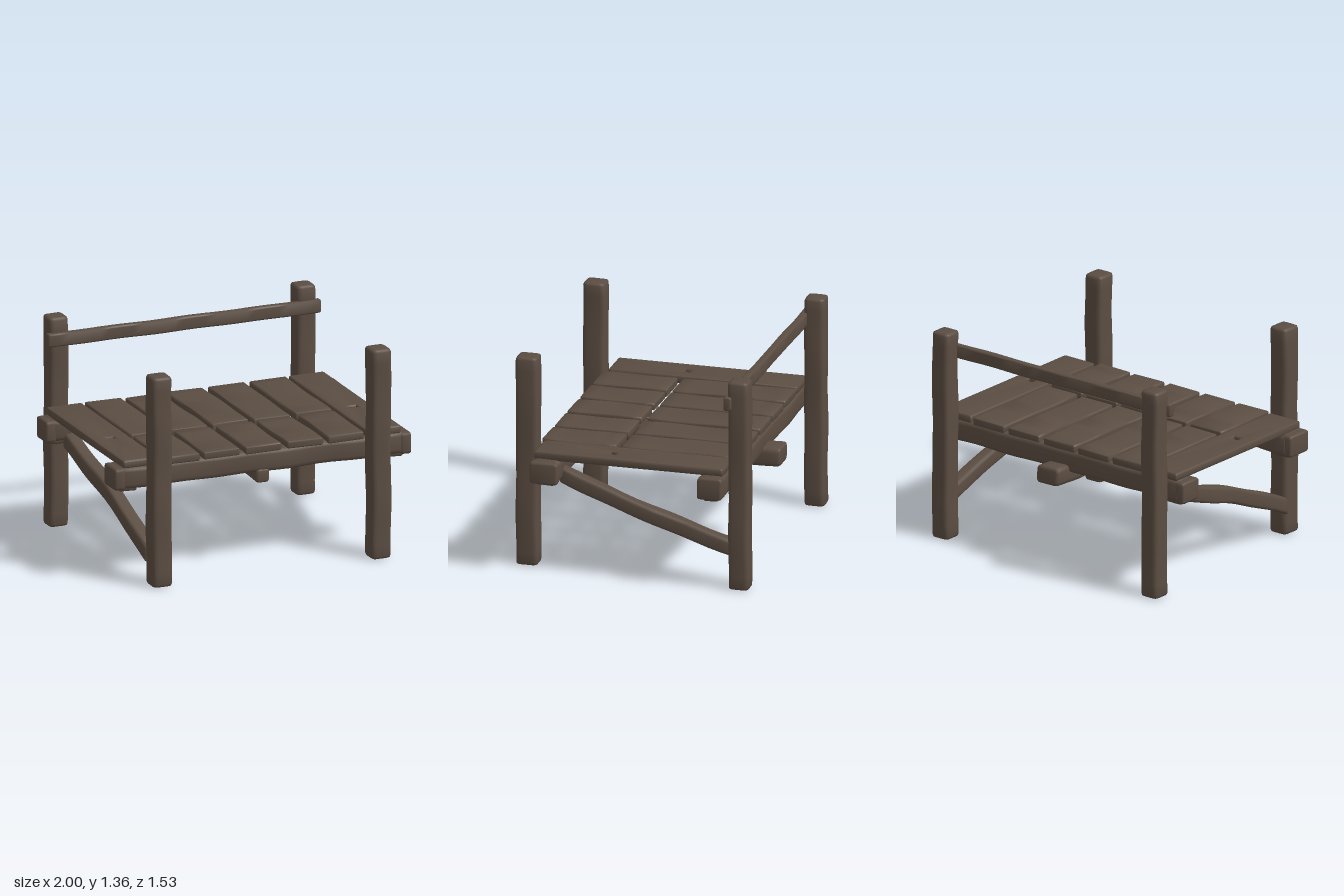
import * as THREE from 'three';
import { toCreasedNormals } from 'three/addons/utils/BufferGeometryUtils.js';

const wood = new THREE.MeshStandardMaterial({ color: 0x5b4d42 });
wood.name = 'weathered wood';

// Rounded rectangle centred on the origin
function roundedRect(w, h, r) {
  const s = new THREE.Shape();
  const x = w / 2, y = h / 2;
  s.moveTo(-x + r, -y);
  s.lineTo(x - r, -y).quadraticCurveTo(x, -y, x, -y + r);
  s.lineTo(x, y - r).quadraticCurveTo(x, y, x - r, y);
  s.lineTo(-x + r, y).quadraticCurveTo(-x, y, -x, y - r);
  s.lineTo(-x, -y + r).quadraticCurveTo(-x, -y, -x + r, -y);
  return s;
}

// Hand-hewn timber filling the given ranges, with its grain along one axis.
// bend(z) may return [dx, dy] to curve a timber that runs along z.
function timber(name, xr, yr, zr, axis, { wobble = 0.005, round = 0.25, hole = null, bend = null } = {}) {
  const size = [xr, yr, zr].map(([a, b]) => b - a);
  const mid = [xr, yr, zr].map(([a, b]) => (a + b) / 2);
  const [w, h, len] = axis === 'x' ? [size[2], size[1], size[0]]
    : axis === 'y' ? [size[0], size[2], size[1]] : size;
  const r = Math.min(0.03, Math.min(w, h) * round, len * 0.3);
  const b = r * 0.6;
  const shape = roundedRect(w, h, r);
  if (hole) {
    const [hx, hy, hw, hh] = hole;
    const p = new THREE.Path();
    p.moveTo(hx - hw, hy - hh);
    p.lineTo(hx - hw, hy + hh).lineTo(hx + hw, hy + hh).lineTo(hx + hw, hy - hh);
    p.closePath();
    shape.holes.push(p);
  }
  let g = new THREE.ExtrudeGeometry(shape, {
    depth: len - 2 * b, steps: Math.max(1, Math.round(len / 0.07)), curveSegments: 3,
    bevelEnabled: true, bevelThickness: b, bevelSize: b, bevelOffset: -b, bevelSegments: 2,
  });
  g.translate(0, 0, -(len - 2 * b) / 2);
  // Uneven, hewn sides
  const pos = g.attributes.position, seed = mid[0] * 7 + mid[1] * 3 + mid[2] * 5;
  for (let i = 0; i < pos.count; i++) {
    const x = pos.getX(i), y = pos.getY(i), z = pos.getZ(i);
    const [dx, dy] = bend ? bend(z + mid[2]) : [0, 0];
    pos.setX(i, x + dx + wobble * Math.sin(z * 9 + seed + y * 8));
    pos.setY(i, y + dy + wobble * 0.7 * Math.sin(z * 13 + seed * 2 + x * 8));
  }
  if (axis === 'x') g.rotateY(Math.PI / 2);
  if (axis === 'y') g.rotateX(-Math.PI / 2);
  g.translate(...mid);
  g = toCreasedNormals(g, 0.9);
  const mesh = new THREE.Mesh(g, wood);
  mesh.name = name;
  return mesh;
}

export function createModel() {
  const model = new THREE.Group();
  model.name = 'plankPlatform';
  const add = (...args) => model.add(timber(...args));

  // Corner posts: the front pair stands closer together than the back pair
  for (const s of [-1, 1]) {
    const span = (a, b) => (s > 0 ? [a, b] : [-b, -a]);
    add(s > 0 ? 'frontLeftPost' : 'frontRightPost', span(0.675, 0.805), [0, 1.36], [0.625, 0.765], 'y', { wobble: 0.003 });
    add(s > 0 ? 'backLeftPost' : 'backRightPost', span(0.77, 0.898), [0, 1.36], [-0.765, -0.635], 'y', { wobble: 0.003 });
  }

  // Back hand rail
  add('handRail', [-0.92, 0.92], [1.18, 1.265], [-0.66, -0.612], 'x', { wobble: 0.002 });

  // Main beams with swollen ends
  const beams = { front: [0.435, 0.615], back: [-0.625, -0.465] };
  for (const [side, zr] of Object.entries(beams)) {
    add(side + 'Beam', [-0.96, 0.96], [0.615, 0.757], zr, 'x', { wobble: 0.004 });
    for (const s of [-1, 1]) {
      add(side + 'BeamEnd', s > 0 ? [0.93, 1] : [-1, -0.93], [0.612, 0.752], zr, 'x', { wobble: 0.003 });
      add(side + 'BeamPad', s > 0 ? [0.84, 0.955] : [-0.955, -0.84], [0.592, 0.66], [zr[0] + 0.03, zr[1] - 0.03], 'x');
    }
  }

  // Long outer planks with a peg hole
  for (const s of [-1, 1]) {
    add('outerPlank', s > 0 ? [0.698, 0.935] : [-0.94, -0.7], [0.75, 0.8], [-0.615, 0.605], 'y',
      { wobble: 0.001, hole: [0, -0.128, 0.027, 0.02] });
  }

  // Inner planks, each in a long back piece and a short front piece
  const centres = [-0.555, -0.282, -0.003, 0.277, 0.555];
  centres.forEach((x, i) => {
    const top = 0.798 - 0.003 * (i % 2);
    add('backPlank', [x - 0.123, x + 0.123], [0.748, top], [-0.618, 0.112], 'z', { wobble: 0.003 });
    add('frontPlank', [x - 0.121, x + 0.121], [0.748, top], [0.148, 0.628], 'z', { wobble: 0.003 });
  });

  // Rough centre joist of several pieces
  add('joistMiddle', [-0.085, 0.085], [0.595, 0.745], [-0.27, 0.15], 'z', { wobble: 0.006 });
  add('joistFront', [-0.075, 0.075], [0.612, 0.742], [0.14, 0.4], 'z', { wobble: 0.006 });
  add('joistFrontTongue', [-0.045, 0.045], [0.55, 0.64], [0.35, 0.62], 'z');
  add('joistBack', [-0.075, 0.075], [0.6, 0.735], [-0.47, -0.26], 'z', { wobble: 0.006 });
  add('joistBackTongue', [-0.085, 0.085], [0.54, 0.66], [-0.735, -0.36], 'z', { wobble: 0.006 });

  // Curved diagonal braces, one low at the back and one low at the front
  add('leftBrace', [0.785, 0.875], [-0.052, 0.052], [-0.66, 0.46], 'z', {
    bend: (z) => [0.02 * Math.cos(z * 2.5) - 0.02 * z, 0.477 + 0.345 * z + 0.045 * z * z],
  });
  add('rightBrace', [-0.85, -0.76], [-0.055, 0.055], [-0.5, 0.65], 'z', {
    bend: (z) => [0.06 * z, 0.458 - 0.355 * z - 0.09 * z * z],
  });

  return model;
}
